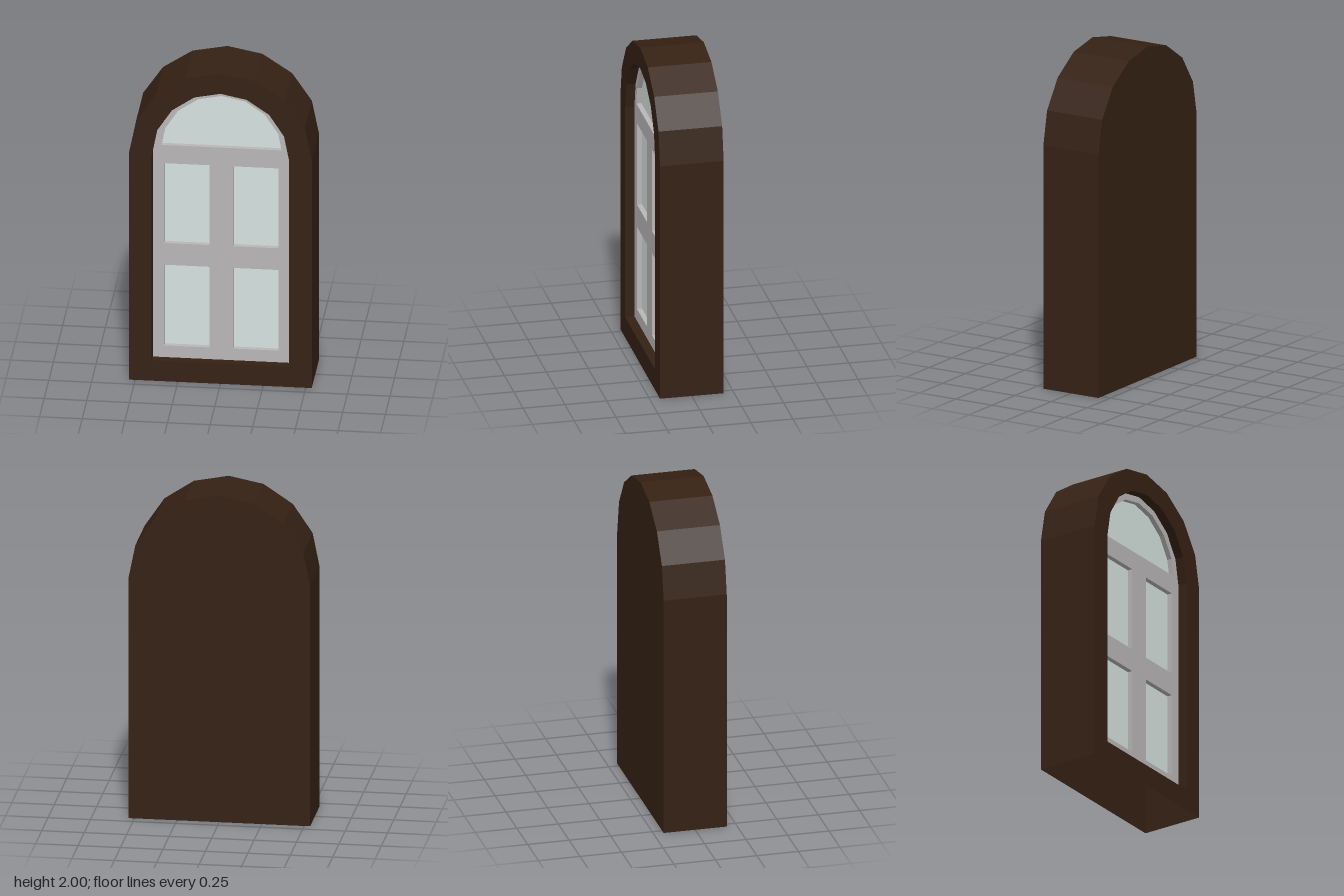
import * as THREE from 'three';

const FRONT = 0.19, BACK = -0.19;
const PANEL = FRONT - 0.055, GLASS = PANEL - 0.03;

// Points of an eight-sided arch from right foot to left foot, above straight legs
function arch(rx, ry, springY, footY) {
  const pts = [new THREE.Vector2(rx, footY)];
  for (let i = 0; i <= 8; i++) {
    const a = (i / 8) * Math.PI;
    pts.push(new THREE.Vector2(rx * Math.cos(a), springY + ry * Math.sin(a)));
  }
  pts.push(new THREE.Vector2(-rx, footY));
  return pts;
}

function rect(x0, y0, x1, y1) {
  return [[x1, y0], [x1, y1], [x0, y1], [x0, y0]].map(p => new THREE.Vector2(...p));
}

// Flat sheet with holes at depth z
function sheet(outline, holes, z) {
  const shape = new THREE.Shape(outline);
  holes.forEach(h => shape.holes.push(new THREE.Path(h)));
  return new THREE.ShapeGeometry(shape).translate(0, 0, z);
}

// Wall swept in depth along an outline, outward facing when z0 > z1
function wall(pts, z0, z1, closed) {
  const pos = [];
  const n = closed ? pts.length : pts.length - 1;
  for (let i = 0; i < n; i++) {
    const a = pts[i], b = pts[(i + 1) % pts.length];
    pos.push(a.x, a.y, z0, a.x, a.y, z1, b.x, b.y, z1);
    pos.push(a.x, a.y, z0, b.x, b.y, z1, b.x, b.y, z0);
  }
  const g = new THREE.BufferGeometry();
  g.setAttribute('position', new THREE.Float32BufferAttribute(pos, 3));
  g.computeVertexNormals();
  return g;
}

export function createModel() {
  const group = new THREE.Group();
  const mat = color => new THREE.MeshStandardMaterial({ color, side: THREE.DoubleSide, flatShading: true });
  const wood = mat(0x352114), paint = mat(0xb9b6b6), glass = mat(0xd6e2df);
  const add = (name, geometry, material) => {
    const mesh = new THREE.Mesh(geometry, material);
    mesh.name = name;
    group.add(mesh);
  };

  const outer = arch(0.535, 0.53, 1.47, 0);
  const opening = arch(0.403, 0.415, 1.455, 0.13);

  // Hollow casing, open underneath
  add('casingFront', sheet(outer, [opening], FRONT), wood);
  add('casingSides', wall(outer, FRONT, BACK, false), wood);
  add('casingBack', sheet(outer, [], BACK).scale(-1, 1, 1).translate(0, 0, 0), wood);
  // Reveal around the opening, facing inward
  add('openingReveal', wall(opening.slice().reverse(), FRONT, PANEL, true), wood);

  // Four rectangular panes and the arched top pane
  const panes = [];
  for (const [y0, y1] of [[0.205, 0.725], [0.865, 1.38]]) {
    panes.push(rect(0.07, y0, 0.335, y1), rect(-0.335, y0, -0.07, y1));
  }
  const lunette = arch(0.36, 0.37, 1.46, 1.497).slice(2, -2);
  lunette.unshift(new THREE.Vector2(0.352, 1.497));
  lunette.push(new THREE.Vector2(-0.352, 1.497));
  panes.push(lunette);

  // Painted sash with recessed glass
  add('sash', sheet(opening, panes, PANEL), paint);
  panes.forEach((p, i) => {
    const label = i < 4 ? 'pane' + (i + 1) : 'archedPane';
    add(label + 'Reveal', wall(p.slice().reverse(), PANEL, GLASS, true), paint);
    add(label, sheet(p, [], GLASS), glass);
  });

  return group;
}
